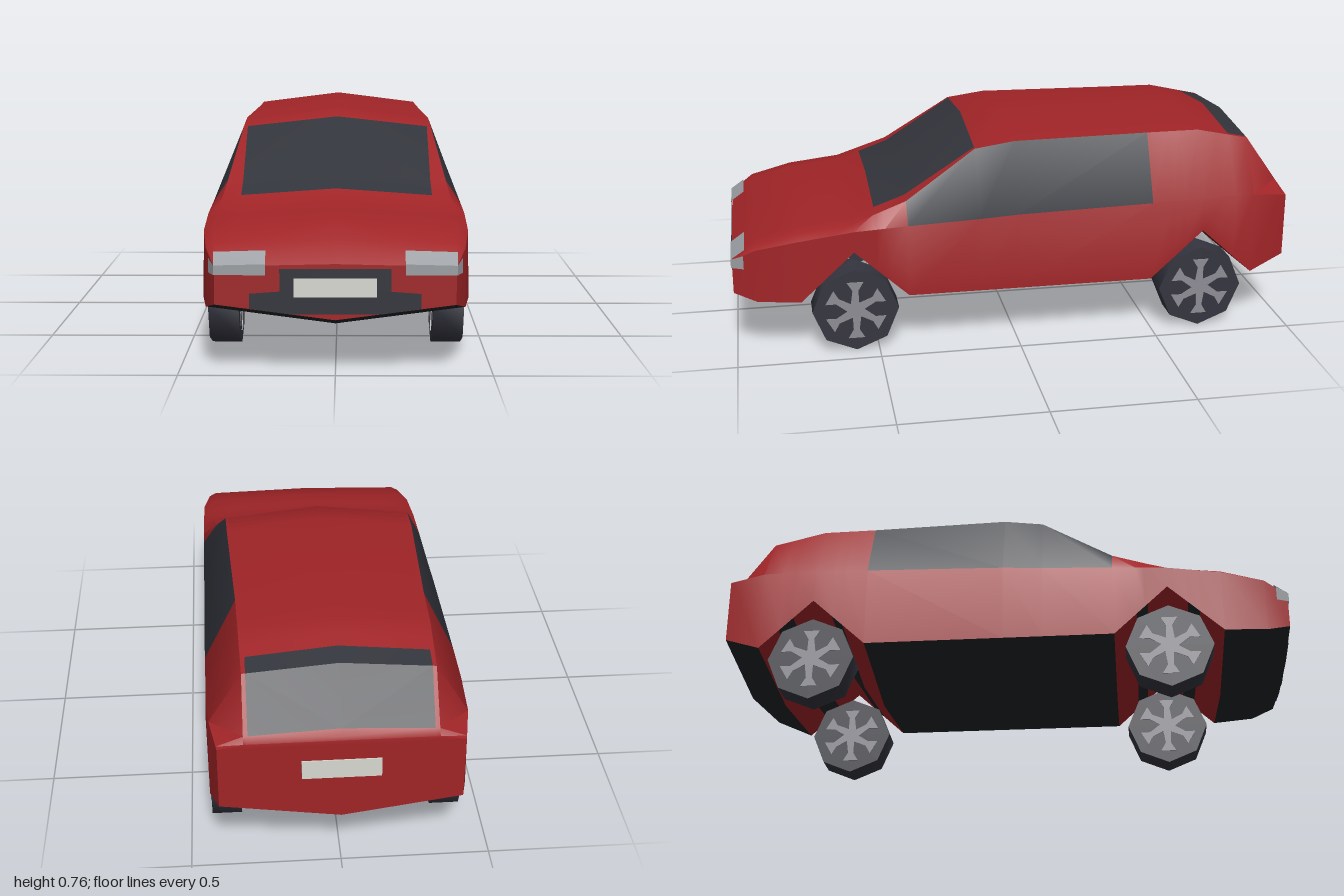
import * as THREE from 'three';
import { toCreasedNormals } from 'three/addons/utils/BufferGeometryUtils.js';

const material = (name, color, side = THREE.FrontSide) =>
  Object.assign(new THREE.MeshStandardMaterial({ color, side }), { name });

// Body stations: z, floor centre y, sill x, y, shoulder x, y, roof edge x, y, top centre y
const STATIONS = [
  [1.00, 0.18, 0.38, 0.23, 0.38, 0.35, 0.37, 0.352, 0.36],
  [0.92, 0.15, 0.415, 0.205, 0.412, 0.395, 0.385, 0.41, 0.42],
  [0.77, 0.137, 0.437, 0.2, 0.433, 0.425, 0.40, 0.445, 0.465],
  [0.58, 0.33, 0.437, 0.375, 0.436, 0.45, 0.40, 0.467, 0.49],
  [0.39, 0.137, 0.437, 0.2, 0.436, 0.46, 0.385, 0.535, 0.57],
  [0.14, 0.138, 0.437, 0.2, 0.435, 0.47, 0.345, 0.70, 0.738],
  [0.00, 0.138, 0.437, 0.2, 0.435, 0.478, 0.342, 0.72, 0.76],
  [-0.49, 0.14, 0.437, 0.2, 0.434, 0.49, 0.322, 0.72, 0.76],
  [-0.68, 0.33, 0.437, 0.375, 0.432, 0.495, 0.318, 0.72, 0.76],
  [-0.87, 0.155, 0.43, 0.2, 0.424, 0.497, 0.313, 0.678, 0.705],
  [-1.00, 0.19, 0.40, 0.25, 0.40, 0.48, 0.315, 0.495, 0.51],
];
// Extra cuts for the edges of the glass and the bands in the wheel arches
const CUTS = [0.5, -0.8, -0.985, 0.69, 0.65, 0.51, 0.47, -0.57, -0.61, -0.75];

function stationAt(z) {
  const k = STATIONS.findIndex((s, i) => i > 0 && z >= s[0]);
  const a = STATIONS[k - 1], b = STATIONS[k], t = (a[0] - z) / (a[0] - b[0]);
  return a.map((v, i) => v + (b[i] - v) * t);
}

// Ring of ten points, from the floor centre up the left side and down the right
function ring([z, yb, xe, ye, xs, ys, xr, yr, yt]) {
  const xg = THREE.MathUtils.mapLinear(THREE.MathUtils.clamp(z, -0.68, 0.14), -0.68, 0.14, 0.3, 0.33);
  const half = [[xe, ye], [xs, ys], [xr, yr], [xg, yt + (yr - yt) * xg / xr]];
  return [[0, yb], ...half, [0, yt], ...half.slice().reverse().map(([x, y]) => [-x, y])]
    .map(([x, y]) => [x, y, z]);
}

const between = (v, a, b) => v > a && v < b;

// Material index of a body cell: 0 paint, 1 glass, 2 underbody
function cellMaterial(j, z) {
  if (j === 0) {
    const arch = Math.min(Math.abs(z - 0.58), Math.abs(z + 0.68));
    return arch > 0.19 || between(arch, 0.07, 0.11) ? 2 : 0;
  }
  if (j === 2) return between(z, -0.49, 0.39) ? 1 : 0;
  if (j === 4) return between(z, 0.14, 0.5) || between(z, -0.985, -0.8) ? 1 : 0;
  return 0;
}

function bodyGeometry() {
  const faces = [[], [], []];
  const quad = (m, a, b, c, d, flip) =>
    faces[m].push(...(flip ? [a, b, d, b, c, d] : [a, b, c, a, c, d]).flat());
  const zs = [...STATIONS.map((s) => s[0]), ...CUTS].sort((a, b) => b - a);
  const rings = zs.map((z) => ring(stationAt(z)));
  for (let k = 0; k < rings.length - 1; k++) {
    const a = rings[k], b = rings[k + 1];
    for (let i = 0; i < 10; i++) {
      const n = (i + 1) % 10;
      quad(cellMaterial(i < 5 ? i : 9 - i, (zs[k] + zs[k + 1]) / 2), a[i], b[i], b[n], a[n], i > 4);
    }
  }
  // Nose and tail panels
  const f = rings[0], r = rings[rings.length - 1];
  for (let i = 0; i < 5; i++) {
    const l = (10 - i) % 10;
    quad(0, f[l], f[i], f[i + 1], f[9 - i], i === 0);
    quad(0, r[i], r[l], r[9 - i], r[i + 1], i === 0);
  }
  const g = new THREE.BufferGeometry();
  g.setAttribute('position', new THREE.Float32BufferAttribute(faces.flat(), 3));
  let start = 0;
  faces.forEach((p, m) => {
    g.addGroup(start, p.length / 3, m);
    start += p.length / 3;
  });
  return toCreasedNormals(g, 0.65);
}

// Headlight wrapping over the nose edge and round the corner
function headlightGeometry(s) {
  const p = [
    [0.22, 0.325, 1.004], [0.382, 0.325, 1.004], [0.382, 0.356, 1.004], [0.22, 0.36, 1.004],
    [0.385, 0.39, 0.955], [0.22, 0.395, 0.955], [0.402, 0.325, 0.96], [0.402, 0.374, 0.96],
  ].map(([x, y, z]) => [x * s, y, z]);
  const quads = [[0, 1, 2, 3], [3, 2, 4, 5], [1, 6, 7, 2]];
  const tris = quads.flatMap(([a, b, c, d]) => (s > 0 ? [a, b, c, a, c, d] : [a, c, b, a, d, c]));
  const g = new THREE.BufferGeometry();
  g.setAttribute('position', new THREE.Float32BufferAttribute(tris.flatMap((i) => p[i]), 3));
  g.computeVertexNormals();
  return g;
}

// Six flared spokes joined at the hub
function rimGeometry() {
  const shape = new THREE.Shape();
  for (let i = 0; i < 6; i++) {
    const a = i * Math.PI / 3 + Math.PI / 2;
    for (const [r, d] of [[0.03, -0.42], [0.075, -0.14], [0.11, -0.27], [0.11, 0.27], [0.075, 0.14]]) {
      const x = r * Math.cos(a + d), y = r * Math.sin(a + d);
      if (i + r === 0.03 && d < 0) shape.moveTo(x, y); else shape.lineTo(x, y);
    }
  }
  return new THREE.ExtrudeGeometry(shape, { depth: 0.004, bevelEnabled: false }).rotateY(Math.PI / 2);
}

export function createModel() {
  const paint = material('red paint', 0xa02427);
  const glass = material('dark glass', 0x32343b);
  const under = material('black underbody', 0x222327);
  const tyre = material('tyre rubber', 0x34353f);
  const alloy = material('rim grey', 0x8c8c94);
  const lamp = material('lamp grey', 0x9a9ea2, THREE.DoubleSide);
  const white = material('plate white', 0xd8d8d2);

  const car = new THREE.Group();
  car.name = 'car';
  const add = (name, geometry, mat, x = 0, y = 0, z = 0, parent = car) => {
    const m = new THREE.Mesh(geometry, mat);
    m.name = name;
    m.position.set(x, y, z);
    parent.add(m);
    return m;
  };

  add('body', bodyGeometry(), [paint, glass, under]);

  // Grille and blank plates
  const half = [[0.15, 0.2], [0.27, 0.217], [0.27, 0.265], [0.175, 0.272], [0.175, 0.345]];
  const outline = [...half, ...half.slice().reverse().map(([x, y]) => [-x, y])];
  const grille = new THREE.Shape(outline.map(([x, y]) => new THREE.Vector2(x, y)));
  add('grille', new THREE.ExtrudeGeometry(grille, { depth: 0.003, bevelEnabled: false }), glass, 0, 0, 1);
  add('frontPlate', new THREE.BoxGeometry(0.26, 0.06, 0.008), white, 0, 0.285, 1.002);
  add('rearPlate', new THREE.BoxGeometry(0.26, 0.07, 0.008), white, 0, 0.385, -1);

  // Wheels and headlights
  const tyreGeometry = toCreasedNormals(
    new THREE.CylinderGeometry(0.153, 0.153, 0.102, 8).rotateZ(Math.PI / 2), 1);
  const rim = rimGeometry();
  for (const s of [1, -1]) {
    add(s > 0 ? 'leftHeadlight' : 'rightHeadlight', headlightGeometry(s), lamp);
    for (const [end, z] of [['front', 0.58], ['rear', -0.68]]) {
      const wheel = new THREE.Group();
      wheel.name = end + (s > 0 ? 'LeftWheel' : 'RightWheel');
      wheel.position.set(s * 0.376, 0.153, z);
      add('tyre', tyreGeometry, tyre, 0, 0, 0, wheel);
      add('outerRim', rim, alloy, s > 0 ? 0.05 : -0.054, 0, 0, wheel);
      add('innerRim', rim, alloy, s > 0 ? -0.054 : 0.05, 0, 0, wheel);
      car.add(wheel);
    }
  }
  return car;
}
